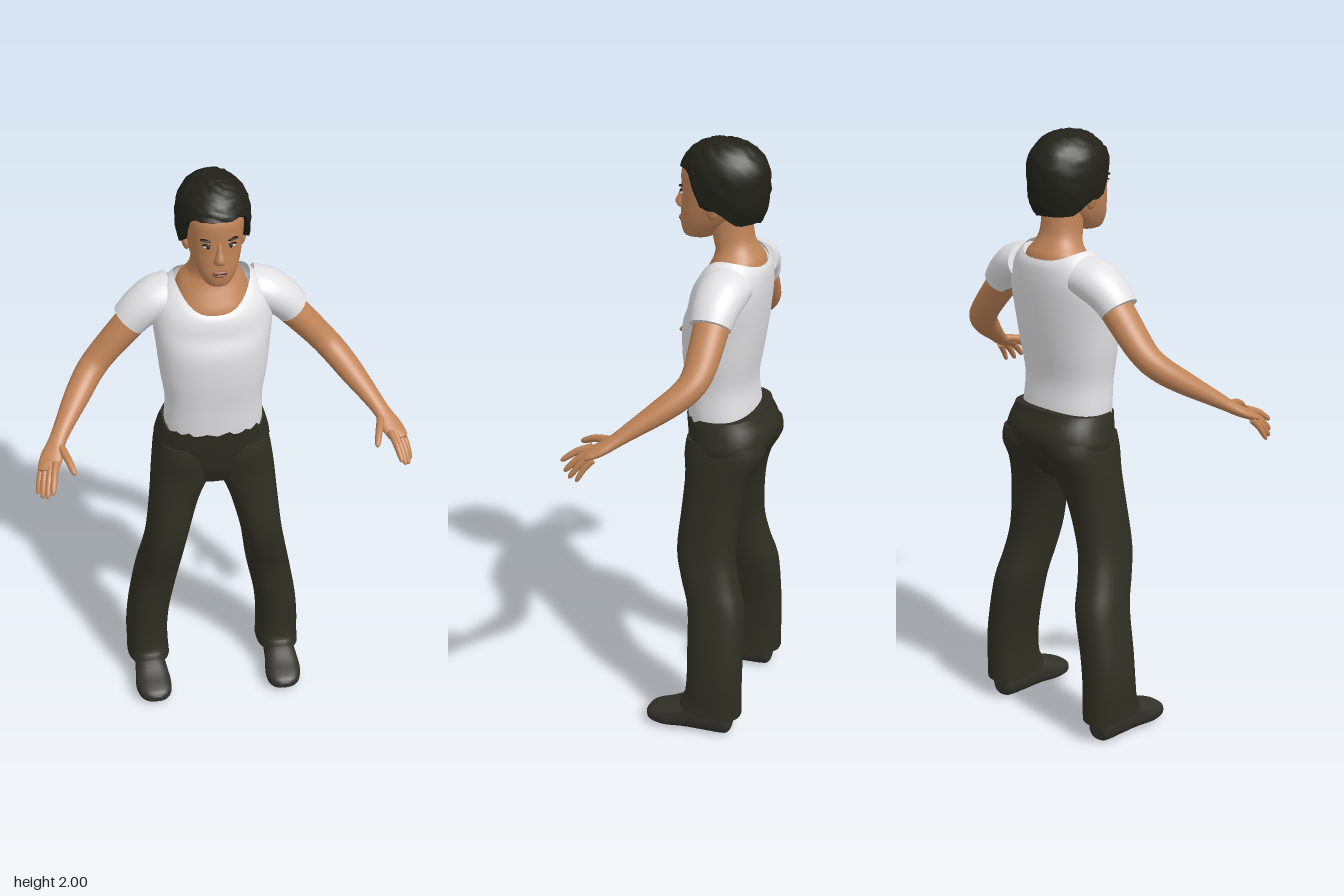
import * as THREE from 'three';

const SEG = 36;
const mat = (name, color) => Object.assign(new THREE.MeshStandardMaterial({ color }), { name });
const lerp = THREE.MathUtils.lerp, step = THREE.MathUtils.smoothstep;

// Catmull-Rom smoothing of a table of rows, k steps between rows
function smooth(rows, k = 4) {
  const out = [], last = rows.length - 1;
  const at = i => rows[Math.min(Math.max(i, 0), last)];
  for (let i = 0; i < last; i++) for (let j = 0; j < k; j++) {
    const t = j / k, a = at(i - 1), b = at(i), c = at(i + 1), d = at(i + 2);
    out.push(b.map((v, q) => 0.5 * (2 * v + (c[q] - a[q]) * t
      + (2 * a[q] - 5 * v + 4 * c[q] - d[q]) * t * t
      + (3 * v - a[q] - 3 * c[q] + d[q]) * t * t * t)));
  }
  out.push(rows[last]);
  return out;
}

// skin over rings of points, capped at the ends, always facing outward
function loft(rings, capStart = true, capEnd = true) {
  const n = rings[0].length, pts = rings.flat(), idx = [];
  for (let r = 0; r < rings.length - 1; r++) for (let i = 0; i < n; i++) {
    const a = r * n + i, b = r * n + (i + 1) % n;
    idx.push(a, b, a + n, b, b + n, a + n);
  }
  const cap = (r, flip) => {
    const c = new THREE.Vector3();
    rings[r].forEach(p => c.addScaledVector(p, 1 / n));
    const base = pts.length;
    pts.push(...rings[r].map(p => p.clone()), c);
    for (let i = 0; i < n; i++) {
      const a = base + i, b = base + (i + 1) % n;
      idx.push(...(flip ? [b, a, base + n] : [a, b, base + n]));
    }
  };
  if (capStart) cap(0, true);
  if (capEnd) cap(rings.length - 1, false);
  const mid = new THREE.Vector3();
  pts.forEach(p => mid.addScaledVector(p, 1 / pts.length));
  let vol = 0;
  for (let i = 0; i < idx.length; i += 3) {
    const [a, b, c] = [0, 1, 2].map(q => pts[idx[i + q]].clone().sub(mid));
    vol += a.dot(b.cross(c));
  }
  if (vol < 0) idx.reverse();
  const g = new THREE.BufferGeometry().setFromPoints(pts);
  g.setIndex(idx);
  g.computeVertexNormals();
  return g;
}

const ringOf = fn => Array.from({ length: SEG }, (_, i) => {
  const a = i / SEG * Math.PI * 2;
  return fn(Math.cos(a), Math.sin(a), i);
});
const pow = (v, n) => Math.sign(v) * Math.abs(v) ** (2 / n);

// level section: [y, x0, x1, zFront, zBack], optional height change around the ring
const level = ([y, x0, x1, zf, zb], n = 2.3, dy = () => 0) => ringOf((c, s, i) => new THREE.Vector3(
  (x0 + x1) / 2 + (x1 - x0) / 2 * pow(c, n), y + dy(c, s, i), (zf + zb) / 2 + (zf - zb) / 2 * pow(s, n)));
const sym = ([y, w, zf, zb]) => [y, -w, w, zf, zb];

// limb along rows of [x, y, z, horizontal radius, other radius]
function limb(rows, side, k = 4) {
  const path = smooth(rows, k), P = path.map(r => new THREE.Vector3(...r));
  return loft(path.map((r, i) => {
    const T = P[Math.min(i + 1, P.length - 1)].clone().sub(P[Math.max(i - 1, 0)]).normalize();
    const U = new THREE.Vector3().crossVectors(T, new THREE.Vector3(0, 1, 0)).normalize();
    const V = new THREE.Vector3().crossVectors(U, T);
    return ringOf((c, s) => {
      const p = P[i].clone().addScaledVector(U, c * r[3]).addScaledVector(V, s * r[4]);
      p.x *= side;
      return p;
    });
  }));
}

export function createModel() {
  const root = new THREE.Group();
  const skin = mat('skin', 0xc08458), white = mat('shirt white', 0xe2e2e4), cloth = mat('trouser cloth', 0x2f2e23);
  const hairMat = mat('hair', 0x212119), shoeMat = mat('shoe', 0x32312a), lipMat = mat('lips', 0xa0604a);
  const dark = mat('eye dark', 0x17120f), eyeWhite = mat('eye white', 0xcfc4b8);
  white.side = THREE.DoubleSide;
  const add = (name, g, m) => {
    const o = new THREE.Mesh(g, m);
    o.name = name;
    root.add(o);
    return o;
  };
  const blob = (name, m, p, s) => {
    const o = add(name, new THREE.SphereGeometry(1, 20, 14), m);
    o.position.set(...p);
    o.scale.set(...s);
    return o;
  };

  // shirt body: [side y, half width, zFront, zBack, front drop, back drop]
  const shirt = smooth([
    [1.04, 0.155, 0.016, -0.195, 0, 0], [1.1, 0.163, 0.022, -0.2, 0, 0], [1.2, 0.16, 0.03, -0.19, 0, 0],
    [1.3, 0.174, 0.04, -0.205, 0, 0], [1.4, 0.184, 0.04, -0.22, 0, 0], [1.5, 0.194, 0.02, -0.23, 0.04, 0],
    [1.57, 0.182, 0.012, -0.232, 0.07, 0.02], [1.615, 0.15, 0.004, -0.23, 0.09, 0.025], [1.64, 0.122, -0.006, -0.222, 0.1, 0.03]]);
  add('shirtBody', loft(shirt.map(r => level(sym(r), 2.3,
    (c, s) => -(s > 0 ? r[4] : r[5]) * (1 - Math.abs(c) ** 2.6))), true, false), white);

  // neck and upper chest
  add('neck', loft(smooth([
    [1.48, 0.13, -0.005, -0.2], [1.54, 0.125, -0.014, -0.214], [1.58, 0.118, -0.033, -0.218], [1.62, 0.105, -0.053, -0.212],
    [1.65, 0.08, -0.058, -0.195], [1.69, 0.067, -0.048, -0.178], [1.78, 0.062, -0.04, -0.17]]).map(r => level(sym(r), 2.2))), skin);

  // head
  add('head', loft(smooth([
    [1.674, 0.022, 0.035, -0.02], [1.685, 0.042, 0.05, -0.05], [1.72, 0.064, 0.058, -0.1], [1.76, 0.078, 0.057, -0.15],
    [1.8, 0.086, 0.055, -0.185], [1.85, 0.092, 0.055, -0.2], [1.9, 0.094, 0.052, -0.2], [1.95, 0.08, 0.02, -0.18],
    [1.98, 0.04, -0.03, -0.13]]).map(r => level(sym(r), 2.3))), skin);

  // hair cap with a hairline that runs from forehead to nape, slightly tousled
  let seed = 7;
  const rnd = () => (seed = (seed * 16807) % 2147483647) / 2147483647 - 0.5;
  const hair = [];
  for (let r = 1; r <= 16; r++) hair.push(ringOf((c, s) => {
    const edge = 1.745 + 0.05 * step(s, -0.6, 0.1) + 0.115 * step(s, 0.25, 0.72);
    const y = lerp(1.997, edge, 1 - Math.cos(r / 16 * Math.PI / 2));
    const h = (y - 1.87) / (y > 1.87 ? 0.13 : 0.21);
    const w = Math.sqrt(Math.max(0, 1 - Math.abs(h) ** 2.3)) * (1 + rnd() * 0.045);
    return new THREE.Vector3(0.117 * w * c, y + rnd() * 0.006, -0.083 + 0.146 * w * s);
  }));
  add('hair', loft(hair), hairMat);

  // face
  add('nose', loft(smooth([[1.835, 0.009, 0.058, 0.03], [1.81, 0.01, 0.068, 0.03], [1.785, 0.016, 0.08, 0.03],
    [1.77, 0.019, 0.074, 0.03], [1.763, 0.012, 0.062, 0.03]]).map(r => level(sym(r), 2))), skin);
  blob('upperLip', lipMat, [0, 1.736, 0.056], [0.026, 0.006, 0.009]);
  blob('lowerLip', lipMat, [0, 1.725, 0.055], [0.022, 0.007, 0.009]);
  blob('mouthLine', dark, [0, 1.731, 0.06], [0.022, 0.0015, 0.005]);

  // waistband and seat of the trousers, with a ragged front edge
  const seat = smooth([
    [0.87, 0.1, -0.03, -0.16], [0.93, 0.165, -0.003, -0.215], [1.0, 0.193, 0.012, -0.255], [1.05, 0.186, 0.02, -0.258],
    [1.105, 0.17, 0.026, -0.232]]);
  add('trouserSeat', loft(seat.map((r, i) => level(sym(r), 2.4, (c, s, k) => i < seat.length - 1 ? 0
    : s > 0.4 ? [0, -0.014, -0.004, -0.026][k % 4] : s < 0 ? 0.012 * s * s : 0))), cloth);

  for (const side of [1, -1]) {
    const tag = side > 0 ? 'left' : 'right';

    // trouser leg
    add(tag + 'TrouserLeg', loft(smooth([
      [1.03, 0.01, 0.185, 0.005, -0.25], [0.98, 0.0, 0.196, 0.012, -0.252], [0.9, 0.006, 0.207, 0.006, -0.21],
      [0.8, 0.05, 0.216, 0.01, -0.185], [0.65, 0.09, 0.232, 0.02, -0.175], [0.55, 0.107, 0.25, 0.0, -0.19],
      [0.45, 0.122, 0.27, -0.028, -0.217], [0.3, 0.152, 0.296, -0.036, -0.222], [0.2, 0.162, 0.306, -0.037, -0.222],
      [0.13, 0.162, 0.306, -0.028, -0.222], [0.085, 0.16, 0.307, -0.008, -0.222]])
      .map(([y, a, b, f, k]) => level([y, side * a, side * b, f, k], 2.4,
        (c, s) => y < 0.12 ? 0.012 * s : 0))), cloth);

    // shoe: rows of [z, centre x, half width, bottom, top]
    add(tag + 'Shoe', loft(smooth([
      [-0.19, 0.235, 0.025, 0.02, 0.08], [-0.175, 0.235, 0.044, 0.004, 0.11], [-0.1, 0.234, 0.05, 0.002, 0.13],
      [-0.03, 0.234, 0.055, 0.004, 0.115], [0.03, 0.233, 0.062, 0.004, 0.084], [0.07, 0.231, 0.057, 0.008, 0.068],
      [0.095, 0.23, 0.042, 0.014, 0.056], [0.107, 0.229, 0.018, 0.024, 0.042]])
      .map(([z, x, w, lo, hi]) => ringOf((c, s) => new THREE.Vector3(
        side * (x + w * pow(c, 2.6)), (lo + hi) / 2 + (hi - lo) / 2 * pow(s, 2.6), z)))), shoeMat);

    // sleeve
    add(tag + 'Sleeve', limb([
      [0.125, 1.566, -0.138, 0.08, 0.064], [0.18, 1.55, -0.13, 0.082, 0.068],
      [0.23, 1.517, -0.125, 0.074, 0.063], [0.266, 1.479, -0.123, 0.066, 0.058]], side), white);

    // arm down to the palm
    add(tag + 'Arm', limb([
      [0.2, 1.535, -0.125, 0.058, 0.053], [0.28, 1.45, -0.123, 0.056, 0.049], [0.36, 1.36, -0.115, 0.05, 0.044],
      [0.405, 1.312, -0.088, 0.046, 0.042], [0.45, 1.265, -0.03, 0.042, 0.037], [0.5, 1.213, 0.045, 0.032, 0.027],
      [0.528, 1.182, 0.09, 0.029, 0.021], [0.548, 1.157, 0.13, 0.037, 0.018], [0.563, 1.14, 0.163, 0.035, 0.014],
      [0.568, 1.132, 0.178, 0.028, 0.009]], side), skin);

    // fingers and thumb: [base, tip, radius]
    [[[0.54, 1.153, 0.165], [0.56, 1.1, 0.262], 0.0105], [[0.556, 1.143, 0.165], [0.577, 1.075, 0.245], 0.0105],
      [[0.573, 1.134, 0.16], [0.592, 1.062, 0.225], 0.01], [[0.585, 1.13, 0.148], [0.605, 1.06, 0.196], 0.009],
      [[0.52, 1.175, 0.11], [0.485, 1.14, 0.222], 0.0115]].forEach(([a, b, r], i) => {
      const at = (t, bend, k) => [...a.map((v, q) => lerp(v, b[q], t) + (q === 1 ? bend : 0)), r * k, r * k];
      add(tag + (i < 4 ? 'Finger' : 'Thumb'), limb(
        [at(0, 0, 1.15), at(0.5, 0.008, 1.05), at(0.9, 0.002, 0.8), at(1, 0, 0.3)], side, 3), skin);
    });

    // eye, brow, ear
    blob(tag + 'EyeWhite', eyeWhite, [side * 0.036, 1.824, 0.045], [0.015, 0.006, 0.007]);
    blob(tag + 'Iris', dark, [side * 0.035, 1.824, 0.049], [0.006, 0.006, 0.005]);
    blob(tag + 'UpperLid', dark, [side * 0.037, 1.831, 0.046], [0.017, 0.0025, 0.007]);
    blob(tag + 'Brow', dark, [side * 0.039, 1.846, 0.045], [0.021, 0.004, 0.009]).rotation.z = side * 0.18;
    blob(tag + 'Ear', skin, [side * 0.09, 1.79, -0.068], [0.012, 0.034, 0.02]).rotation.z = -side * 0.2;
  }
  return root;
}
